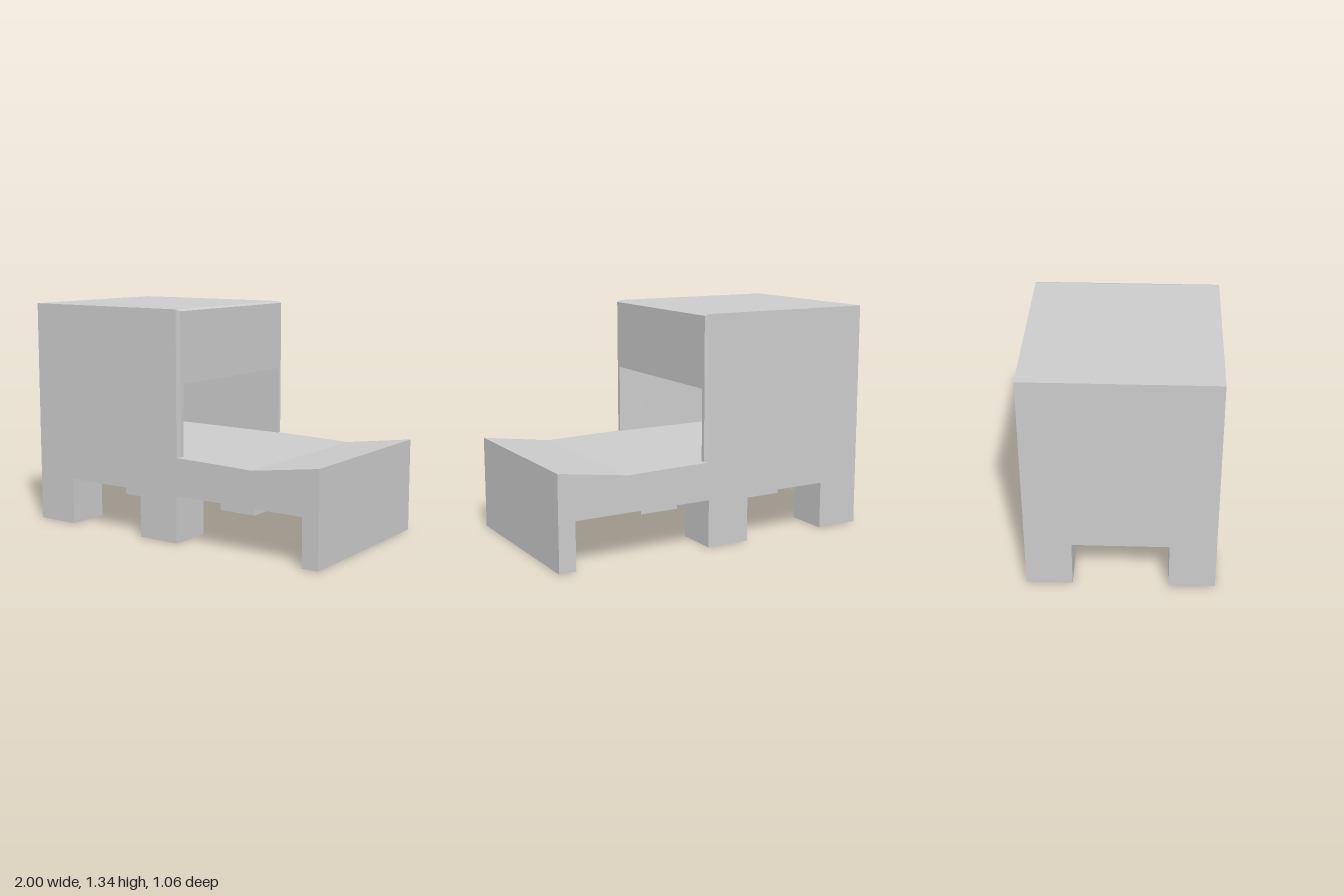
import * as THREE from 'three';

const material = new THREE.MeshStandardMaterial({ color: 0xcccccc, flatShading: true });
const HALF = 0.53; // half depth of the whole piece

function addMesh(parent, name, geometry) {
  const mesh = new THREE.Mesh(geometry, material);
  mesh.name = name;
  parent.add(mesh);
  return mesh;
}

// Joins rectangular loops [x, halfDepth, bottom, top] into one flat-sided skin.
function loftRectangles(loops) {
  const rings = loops.map(([x, h, b, t]) => [[x, b, -h], [x, b, h], [x, t, h], [x, t, -h]]);
  const positions = [];
  for (let k = 0; k < rings.length - 1; k++) {
    for (let i = 0; i < 4; i++) {
      const j = (i + 1) % 4;
      const a = rings[k][i], b = rings[k][j], c = rings[k + 1][j], d = rings[k + 1][i];
      positions.push(...a, ...d, ...c, ...a, ...c, ...b);
    }
  }
  const geometry = new THREE.BufferGeometry();
  geometry.setAttribute('position', new THREE.Float32BufferAttribute(positions, 3));
  geometry.computeVertexNormals();
  return geometry;
}

export function createModel() {
  const model = new THREE.Group();
  model.name = 'seatWithHollowCabinet';

  // Base slab with the dipped seat and the full-width end panel
  const profile = [
    [-1, 0.28], [0.9, 0.28], [0.9, 0], [1, 0], [1, 0.55],
    [0.58, 0.49], [0.28, 0.497], [0.07, 0.5], [-1, 0.5],
  ];
  const shape = new THREE.Shape(profile.map(([x, y]) => new THREE.Vector2(x, y)));
  const base = new THREE.ExtrudeGeometry(shape, { depth: 2 * HALF, bevelEnabled: false });
  base.translate(0, 0, -HALF);
  addMesh(model, 'baseAndSeat', base);

  // Hollow cabinet: outer skin, chamfered front rim, doorway, taller inner cavity
  addMesh(model, 'cabinet', loftRectangles([
    [-1, 0, 0.92, 0.92],
    [-1, HALF, 0.5, 1.34],
    [0.065, HALF, 0.5, 1.34],
    [0.09, 0.52, 0.505, 1.33],
    [0.09, 0.495, 0.505, 0.92],
    [0.055, 0.495, 0.505, 0.92],
    [0.055, 0.495, 0.505, 1.305],
    [-0.67, 0.495, 0.505, 1.305],
    [-0.67, 0, 0.92, 0.92],
  ]));

  // Four square legs under the cabinet
  const legGeometry = new THREE.BoxGeometry(0.265, 0.28, 0.26);
  for (const [label, x] of [['rear', -0.8675], ['middle', -0.07]]) {
    for (const side of [1, -1]) {
      const leg = addMesh(model, `${label}Leg`, legGeometry);
      leg.position.set(x, 0.14, side * (HALF - 0.13));
    }
  }

  return model;
}
